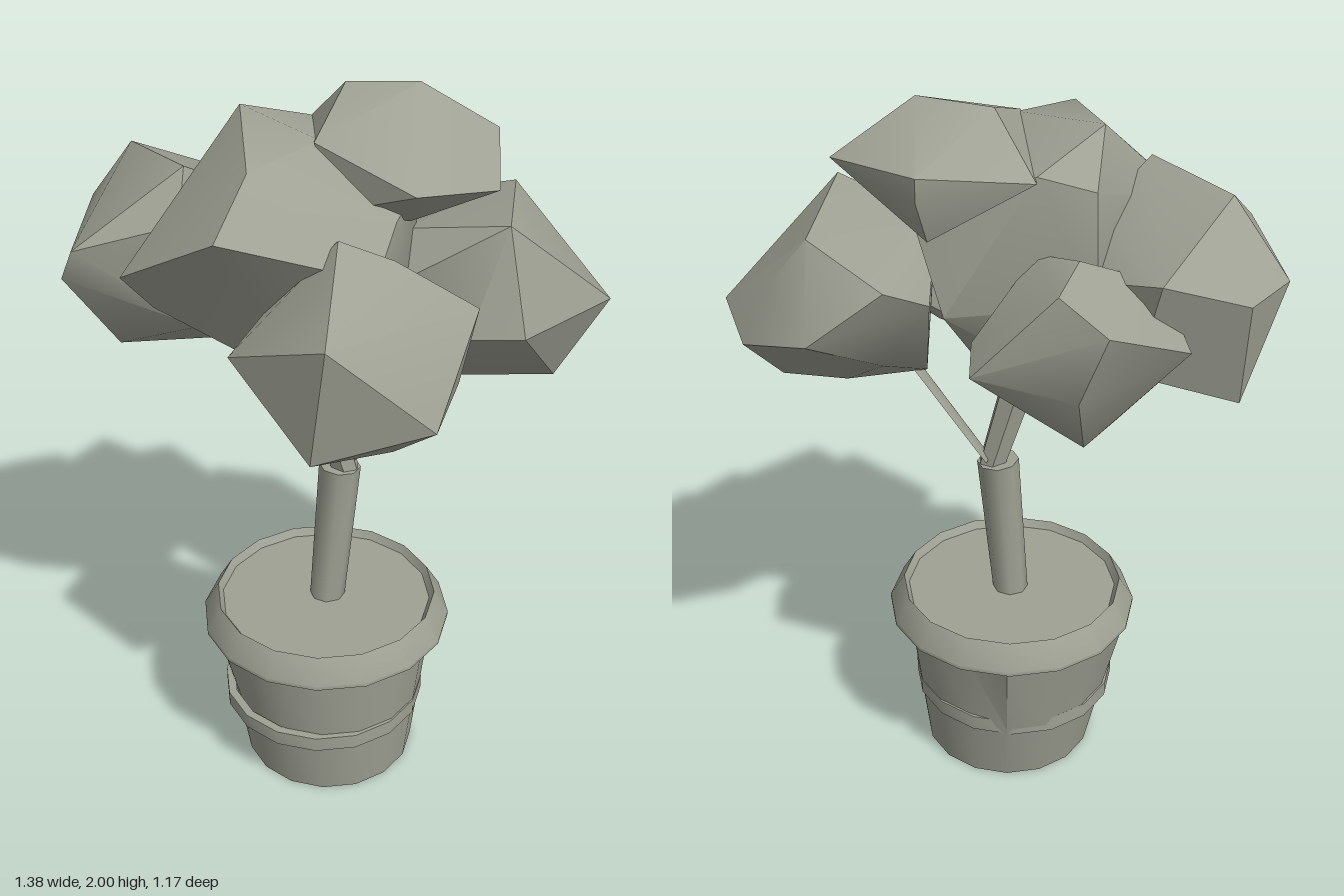
import * as THREE from 'three';
import { toCreasedNormals } from 'three/addons/utils/BufferGeometryUtils.js';
import { ConvexGeometry } from 'three/addons/geometries/ConvexGeometry.js';

export function createModel() {
  const clay = new THREE.MeshStandardMaterial({ color: 0x9fa194, side: THREE.DoubleSide });
  clay.name = 'grey green';
  const model = new THREE.Group();
  model.name = 'pottedTree';

  const add = (name, geometry, parent = model, crease = 0.6) => {
    const mesh = new THREE.Mesh(toCreasedNormals(geometry, crease), clay);
    mesh.name = name;
    parent.add(mesh);
    return mesh;
  };
  const lathe = (profile) =>
    new THREE.LatheGeometry(profile.map(([r, y]) => new THREE.Vector2(r, y)), 16);

  // Tapered limb between two points, optionally flattened into a ribbon
  const limb = (name, from, to, r0, r1, sides, flat = 1) => {
    const a = new THREE.Vector3(...from), b = new THREE.Vector3(...to);
    const dir = b.clone().sub(a);
    const geo = new THREE.CylinderGeometry(r1, r0, dir.length(), sides);
    geo.scale(flat, 1, 1);
    const mesh = add(name, geo, model, 0.9);
    mesh.position.copy(a).add(b).multiplyScalar(0.5);
    mesh.quaternion.setFromUnitVectors(new THREE.Vector3(0, 1, 0), dir.normalize());
  };

  // Pot
  const pot = new THREE.Group();
  pot.name = 'pot';
  pot.position.set(-0.046, 0, 0.022);
  model.add(pot);

  // Wall flares outward at its back right corner
  const wall = lathe([[0.25, 0], [0.274, 0.21], [0.303, 0.46]]);
  const p = wall.attributes.position;
  for (let i = 0; i < p.count; i++) {
    const x = p.getX(i), z = p.getZ(i), t = p.getY(i) / 0.46;
    if (x < 0.02 && z < 0.02) {
      const s = 1 + 0.17 * t;
      p.setX(i, x * s);
      p.setZ(i, z * s);
    }
  }
  add('potWall', wall, pot).position.set(0.008, 0, 0.008);
  add('potBand', lathe([[0.265, 0.19], [0.294, 0.19], [0.294, 0.235], [0.27, 0.235]]), pot)
    .position.set(-0.008, 0, 0.01);
  add('potRim', lathe([[0.3, 0.45], [0.357, 0.465], [0.357, 0.476], [0.315, 0.545], [0.3, 0.52]]), pot);
  add('soil', lathe([[0.302, 0.522], [0, 0.522]]), pot);
  add('potBase', lathe([[0, 0.14], [0.266, 0.14]]), pot).position.set(0.008, 0, 0.008);

  // Trunk and branches
  limb('trunk', [-0.043, 0.51, 0.012], [-0.006, 0.957, 0], 0.05, 0.058, 8);
  limb('mainBranch', [0.012, 0.94, 0], [-0.12, 1.4, 0.008], 0.038, 0.057, 6);
  limb('sideBranch', [0.025, 0.97, -0.012], [0.265, 1.34, -0.02], 0.032, 0.036, 6, 0.2);

  // Foliage clumps as faceted convex hulls
  const clumps = {
    leftClump: [
      [0.69, 1.46, -0.05], [0.61, 1.43, -0.26], [0.54, 1.58, -0.24], [0.43, 1.5, -0.42],
      [0.41, 1.73, 0.14], [0.44, 1.7, -0.25], [0.46, 1.46, 0.2], [0.25, 1.62, -0.38],
      [0.15, 1.55, -0.29], [0.56, 1.24, -0.04], [0.39, 1.23, -0.05], [0.18, 1.25, -0.03],
      [0.32, 1.46, 0.21], [0.15, 1.66, 0], [0.2, 1.3, 0.1], [0.27, 1.37, -0.25],
      [0.16, 1.58, 0.13]],
    frontClump: [
      [0, 1.61, 0.585], [0.01, 1.75, 0.3], [0.14, 1.705, 0.3], [0.34, 1.59, 0.3],
      [0.25, 1.365, 0.5], [0.3, 1.39, 0.3], [0.15, 1.29, 0.46], [-0.04, 1.29, 0.54],
      [-0.24, 1.5, 0.41], [0, 1.28, 0.28], [0.31, 1.4, 0.19], [-0.1, 1.6, 0.15],
      [0.16, 1.29, 0.2], [0.04, 1.28, 0.14]],
    middleClump: [
      [-0.515, 1.62, 0.25], [-0.26, 1.78, 0.415], [-0.26, 1.935, -0.1], [-0.05, 1.91, 0.08],
      [-0.1, 1.86, -0.26], [-0.24, 1.82, -0.25], [0.14, 1.75, 0.18], [0.1, 1.66, 0.32],
      [-0.45, 1.52, 0.2], [-0.09, 1.27, 0.12], [0.12, 1.5, -0.25], [0.05, 1.31, -0.08],
      [-0.4, 1.76, 0.11], [-0.2, 1.89, 0.26], [0.2, 1.74, -0.17], [0.17, 1.6, 0.1],
      [-0.25, 1.55, -0.28], [-0.1, 1.35, -0.2]],
    topClump: [
      [0, 1.985, -0.14], [0.185, 2, -0.1], [0.385, 1.87, -0.16], [0.385, 1.78, 0.04],
      [0.185, 1.83, 0.23], [0.17, 1.89, -0.365], [-0.1, 1.85, -0.28], [-0.06, 1.91, 0.1],
      [0.15, 1.72, -0.31], [0.17, 1.72, 0.1], [0, 1.75, 0.12], [0.17, 1.83, -0.36]],
    rightClump: [
      [-0.56, 1.8, -0.2], [-0.385, 1.82, 0.03], [-0.695, 1.62, -0.28], [-0.695, 1.55, 0.115],
      [-0.66, 1.63, 0.13], [-0.39, 1.7, 0.115], [-0.6, 1.29, -0.05], [-0.34, 1.3, -0.08],
      [-0.595, 1.6, -0.39], [-0.385, 1.66, -0.42], [-0.22, 1.6, -0.25], [-0.6, 1.31, -0.31],
      [-0.36, 1.42, 0.1], [-0.34, 1.4, -0.35], [-0.25, 1.72, -0.1]],
    backClump: [
      [-0.26, 1.61, -0.585], [0.05, 1.45, -0.465], [-0.46, 1.5, -0.425], [-0.2, 1.69, -0.34],
      [-0.15, 1.67, -0.5], [-0.22, 1.25, -0.43], [-0.14, 1.24, -0.3], [-0.3, 1.25, -0.3],
      [-0.2, 1.43, -0.55], [0.05, 1.48, -0.34], [-0.4, 1.6, -0.25], [-0.1, 1.66, -0.23]],
  };
  const foliage = new THREE.Group();
  foliage.name = 'foliage';
  model.add(foliage);
  for (const [name, points] of Object.entries(clumps)) {
    add(name, new ConvexGeometry(points.map((v) => new THREE.Vector3(...v))), foliage);
  }
  return model;
}
